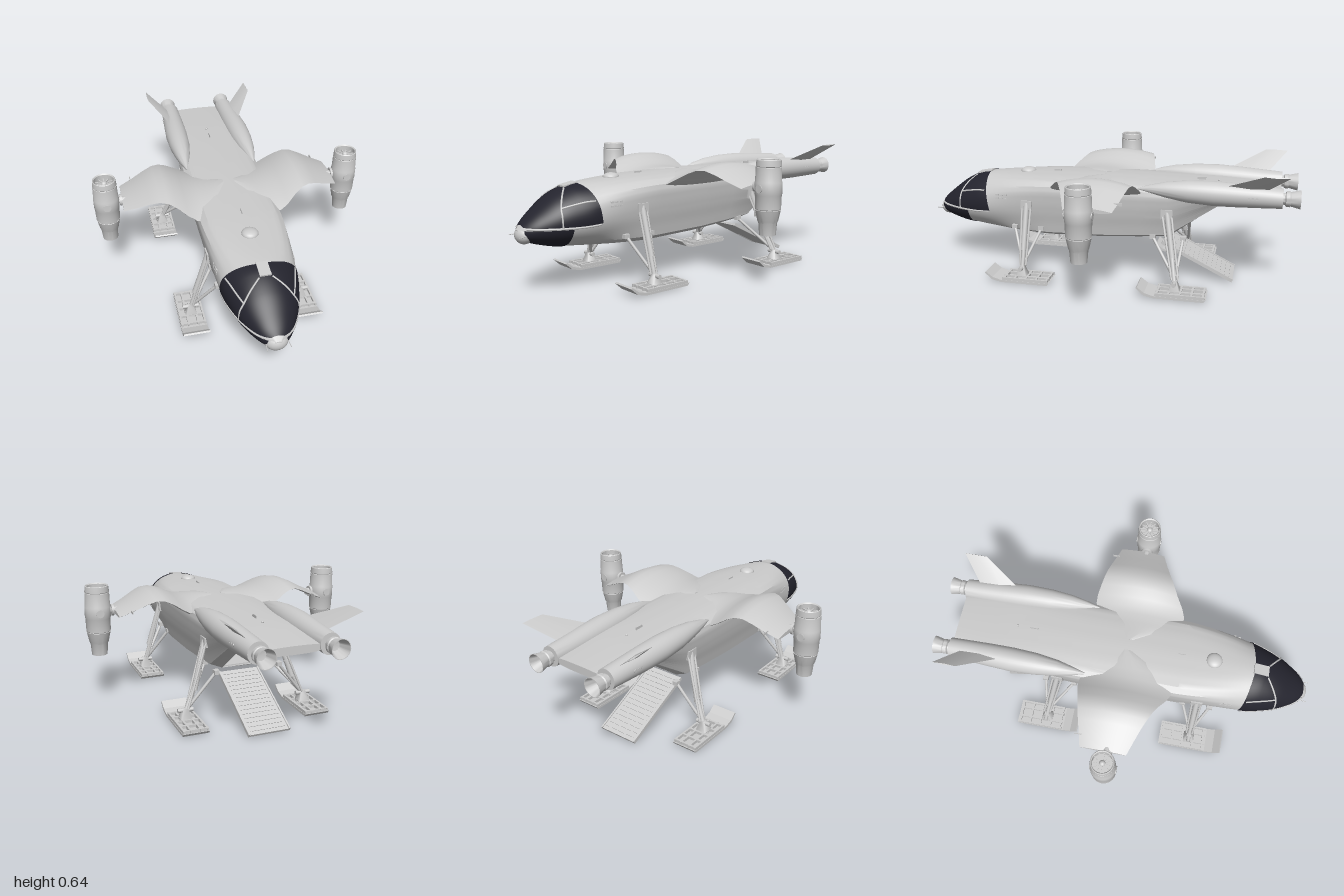
import * as THREE from 'three';
import { toCreasedNormals } from 'three/addons/utils/BufferGeometryUtils.js';
import { ParametricGeometry } from 'three/addons/geometries/ParametricGeometry.js';

const V = (x, y, z) => new THREE.Vector3(x, y, z);

// Hull stations, nose to tail: z, half width, top, bottom, blend from round (0) to faceted (1)
const stations = [
  [0.985, 0.02, 0.325, 0.285, 0], [0.95, 0.065, 0.362, 0.268, 0], [0.9, 0.1, 0.405, 0.25, 0],
  [0.82, 0.14, 0.465, 0.229, 0], [0.73, 0.169, 0.508, 0.217, 0], [0.66, 0.185, 0.52, 0.212, 0.15],
  [0.5, 0.201, 0.53, 0.207, 0.7], [0.3, 0.212, 0.538, 0.204, 1], [0, 0.215, 0.542, 0.213, 1],
  [-0.2, 0.215, 0.54, 0.228, 1], [-0.35, 0.212, 0.537, 0.242, 1], [-0.6, 0.2, 0.53, 0.43, 1],
  [-0.7, 0.18, 0.525, 0.455, 0.8], [-0.91, 0.16, 0.512, 0.472, 0.5]];
// Faceted half section: x / half width, height fraction
const half = [[0, 0], [0.5, 0], [0.81, 0.095], [0.86, 0.26], [0.92, 0.42], [0.965, 0.58],
  [1, 0.79], [0.97, 0.88], [0.83, 0.95], [0.5, 0.985], [0, 1]];
const STEPS = 30;

function stationAt(z) {
  let i = 0;
  while (i < stations.length - 2 && z < stations[i + 1][0]) i++;
  const a = stations[i], b = stations[i + 1], t = (z - a[0]) / (b[0] - a[0]);
  const p = stations[i - 1] || a, n = stations[i + 2] || b, h = b[0] - a[0];
  return a.map((v, k) => {
    if (a[0] <= 0.3 || k === 0) return v + (b[k] - v) * t;
    const m0 = (b[k] - p[k]) / (b[0] - p[0]) * h, m1 = (n[k] - v) / (n[0] - a[0]) * h;
    const t2 = t * t, t3 = t2 * t;
    return (2 * t3 - 3 * t2 + 1) * v + (t3 - 2 * t2 + t) * m0 + (3 * t2 - 2 * t3) * b[k] + (t3 - t2) * m1;
  });
}

// Point on the hull: u runs 0 (keel) to 1 (spine) on the +x side
function hullPoint(z, u, side = 1, lift = 0) {
  const [, w, top, bottom, k] = stationAt(z), f = Math.min(u * 10, 9.9999), i = Math.floor(f), t = f - i;
  const bx = half[i][0] + (half[i + 1][0] - half[i][0]) * t, by = half[i][1] + (half[i + 1][1] - half[i][1]) * t;
  const x = Math.sin(Math.PI * u) * (1 - k) + bx * k, y = (0.5 - 0.5 * Math.cos(Math.PI * u)) * (1 - k) + by * k;
  const hy = (top - bottom) / 2, mid = (top + bottom) / 2;
  return V(side * x * (w + lift), mid + (2 * y - 1) * (hy + lift), z);
}
// u of a given height on the rounded nose
function uAt(z, y) {
  const [, , top, bottom] = stationAt(z);
  return Math.acos(THREE.MathUtils.clamp(1 - 2 * (y - bottom) / (top - bottom), -1, 1)) / Math.PI;
}

// Skin between closed rings; rings turn anticlockwise seen from the first end
function loft(rings, crease = 0.6, skip = () => false) {
  const n = rings[0].length, pos = [], idx = [];
  rings.forEach(r => r.forEach(p => pos.push(p.x, p.y, p.z)));
  for (let i = 0; i < rings.length - 1; i++) for (let j = 0; j < n; j++) {
    if (skip(i, j)) continue;
    const a = i * n + j, b = i * n + (j + 1) % n;
    idx.push(a, a + n, b, b, a + n, b + n);
  }
  [0, rings.length - 1].forEach((r, e) => {
    const c = rings[r].reduce((s, p) => s.add(p), V(0, 0, 0)).divideScalar(n), ci = pos.length / 3;
    pos.push(c.x, c.y, c.z);
    for (let j = 0; j < n; j++) {
      const a = r * n + j, b = r * n + (j + 1) % n;
      e ? idx.push(ci, b, a) : idx.push(ci, a, b);
    }
  });
  const g = new THREE.BufferGeometry();
  g.setAttribute('position', new THREE.Float32BufferAttribute(pos, 3));
  g.setIndex(idx);
  return toCreasedNormals(g, crease);
}
const ringOf = (n, f) => Array.from({ length: n }, (_, i) => f(i / n * Math.PI * 2));

export function createModel() {
  const model = new THREE.Group();
  const hull = new THREE.MeshStandardMaterial({ color: 0xcccccc, side: THREE.DoubleSide }); hull.name = 'hullGrey';
  const glass = new THREE.MeshStandardMaterial({ color: 0x24242e, side: THREE.DoubleSide }); glass.name = 'darkGlass';
  const add = (parent, name, geo, mat = hull, x = 0, y = 0, z = 0) => {
    const m = new THREE.Mesh(geo, mat);
    m.name = name; m.position.set(x, y, z); parent.add(m);
    return m;
  };
  const box = (parent, name, w, h, d, x, y, z) => add(parent, name, new THREE.BoxGeometry(w, h, d), hull, x, y, z);
  const strut = (parent, name, a, b, r) => {
    const p = V(...a), q = V(...b), d = q.clone().sub(p);
    const m = add(parent, name, new THREE.CylinderGeometry(r, r, d.length(), 10));
    m.position.copy(p).add(q).multiplyScalar(0.5);
    m.quaternion.setFromUnitVectors(V(0, 1, 0), d.normalize());
  };
  const lathe = (pts, n = 28) => toCreasedNormals(new THREE.LatheGeometry(pts.map(p => new THREE.Vector2(...p)), n), 0.5);
  // Shape drawn in (z, y), extruded across x and centred
  const sideCut = (pts, width) => new THREE.ExtrudeGeometry(new THREE.Shape(pts.map(p => new THREE.Vector2(...p))),
    { depth: width, bevelEnabled: false }).rotateY(-Math.PI / 2).translate(width / 2, 0, 0);

  // Fuselage, open under the tail for the cargo bay
  const zs = Array.from({ length: 20 }, (_, i) => 0.985 - 0.685 * i / 20).concat(stations.slice(7).map(s => s[0]));
  const rings = zs.map(z => Array.from({ length: STEPS * 2 }, (_, j) =>
    j <= STEPS ? hullPoint(z, j / STEPS) : hullPoint(z, 2 - j / STEPS, -1)));
  add(model, 'fuselage', loft(rings, 0.5, (i, j) => zs[i] < -0.34 && zs[i] > -0.59 && (j < 3 || j >= STEPS * 2 - 3)));

  // Canopy glass and its frame
  for (const s of [1, -1]) {
    add(model, 'upperGlass', new ParametricGeometry((a, b, out) => {
      const z = THREE.MathUtils.lerp(0.63 + 0.05 * b, 0.968, a), u0 = uAt(z, 0.335);
      out.copy(hullPoint(z, u0 + (1 - u0) * b, s, 0.003));
    }, 24, 16), glass);
    add(model, 'lowerGlass', new ParametricGeometry((a, b, out) => {
      const z = THREE.MathUtils.lerp(0.77, 0.968, a);
      out.copy(hullPoint(z, uAt(z, 0.323) * b, s, 0.003));
    }, 16, 14), glass);
    const frame = pts => add(model, 'canopyFrame', new THREE.TubeGeometry(
      new THREE.CatmullRomCurve3(pts.map(([z, u]) => hullPoint(z, u, s, 0.003))), 24, 0.0048, 6));
    frame([0.64, 0.7, 0.76, 0.82, 0.88, 0.93, 0.96].map(z => [z, uAt(z, 0.329)]));
    frame([[0.82, uAt(0.82, 0.33)], [0.82, 0.6], [0.815, 0.7], [0.79, 0.82], [0.75, 0.94]]);
    frame([[0.815, 0.7], [0.76, 0.68], [0.7, 0.67], [0.66, 0.66]]);
  }
  box(model, 'canopyTopPlate', 0.055, 0.008, 0.08, 0, 0.515, 0.71).rotation.x = 0.18;
  add(model, 'noseCap', new THREE.SphereGeometry(1, 24, 16).scale(0.054, 0.044, 0.042), hull, 0, 0.297, 0.95);

  // Dorsal dome, aerials and belly fins
  add(model, 'dorsalDome', new THREE.SphereGeometry(1, 24, 12).scale(0.042, 0.022, 0.042), hull, 0, 0.53, 0.46);
  for (const [z, l] of [[0.29, 0.04], [-0.5, 0.045]]) box(model, 'dorsalAerial', 0.004, 0.02, l, 0, 0.536, z);
  add(model, 'dorsalLamp', new THREE.SphereGeometry(0.006, 10, 8), hull, 0, 0.533, -0.59);
  for (const z of [0.16, -0.14]) add(model, 'bellyFin',
    sideCut([[0.02, 0.04], [-0.02, 0.04], [-0.018, 0], [-0.006, 0]], 0.008), hull, 0, 0.186, z);
  add(model, 'bellyLamp', new THREE.SphereGeometry(0.01, 10, 8), hull, 0, 0.205, 0.3);

  // Cargo bay and ramp
  const bay = new THREE.Group(); bay.name = 'cargoBay'; model.add(bay);
  for (const s of [1, -1]) {
    add(bay, 'bayWall', sideCut([[-0.06, 0.25], [-0.36, 0.252], [-0.59, 0.43], [-0.59, 0.48], [-0.06, 0.48]], 0.006), hull, s * 0.106);
    for (const z of [-0.15, -0.24, -0.33, -0.42]) box(bay, 'bayRib', 0.008, 0.14, 0.012, s * 0.1, 0.41, z);
  }
  box(bay, 'bayCeiling', 0.21, 0.006, 0.53, 0, 0.48, -0.325);
  box(bay, 'bayFloor', 0.21, 0.006, 0.29, 0, 0.25, -0.205);
  box(bay, 'bayBulkhead', 0.21, 0.23, 0.006, 0, 0.365, -0.06);
  box(bay, 'bayDoor', 0.09, 0.17, 0.008, 0, 0.34, -0.066);
  const ramp = new THREE.Group(); ramp.name = 'ramp'; model.add(ramp);
  ramp.position.set(0, 0.107, -0.5); ramp.rotation.x = -Math.atan2(0.188, 0.38);
  box(ramp, 'rampPlate', 0.22, 0.012, 0.424, 0, 0, 0);
  for (const s of [1, -1]) box(ramp, 'rampEdge', 0.008, 0.018, 0.424, s * 0.106, 0.002, 0);
  for (let i = 0; i < 15; i++) box(ramp, 'rampTread', 0.18, 0.003, 0.004, 0, 0.007, -0.19 + i * 0.027);

  // Everything that is mirrored is built on +x
  for (const s of [1, -1]) {
    const g = new THREE.Group();
    g.name = s > 0 ? 'leftSide' : 'rightSide'; g.scale.x = s; model.add(g);

    // Gull wing: x, front z, rear z, edge height, crown, half thickness below
    const wing = [[0.03, 0.04, -0.03, 0.532, 0.011, 0.02], [0.08, 0.17, -0.1, 0.522, 0.022, 0.02], [0.13, 0.245, -0.15, 0.504, 0.038, 0.02],
      [0.18, 0.272, -0.19, 0.493, 0.05, 0.02], [0.22, 0.268, -0.212, 0.5, 0.05, 0.018], [0.26, 0.25, -0.212, 0.522, 0.044, 0.014],
      [0.31, 0.215, -0.2, 0.554, 0.036, 0.01], [0.35, 0.192, -0.191, 0.571, 0.029, 0.008], [0.39, 0.173, -0.182, 0.572, 0.024, 0.008],
      [0.44, 0.15, -0.17, 0.553, 0.022, 0.008], [0.5, 0.126, -0.155, 0.525, 0.018, 0.008], [0.57, 0.1, -0.138, 0.497, 0.014, 0.008]];
    add(g, 'wing', loft(wing.map(([x, zf, zr, y, up, down]) => ringOf(36, a => {
      const c = Math.cos(a), q = Math.sin(a);
      return V(x, y + (q > 0 ? up * (1 - c * c) : down * q), (zf + zr) / 2 + c * (zf - zr) / 2);
    })), 0.9));
    add(g, 'wingHatch', new THREE.CylinderGeometry(0.025, 0.025, 0.006, 20).scale(0.7, 1, 1.6), hull, 0.38, 0.565, 0);
    box(g, 'wingFence', 0.004, 0.012, 0.04, 0.51, 0.521, -0.155);

    // Tilting lift pod at the wing tip
    strut(g, 'podShaft', [0.55, 0.503, 0], [0.61, 0.503, 0], 0.018);
    add(g, 'shaftCollar', new THREE.CylinderGeometry(0.03, 0.03, 0.012, 20).rotateZ(Math.PI / 2), hull, 0.576, 0.503, 0);
    const pod = new THREE.Group(); pod.name = 'liftPod'; pod.position.set(0.651, 0, 0); g.add(pod);
    add(pod, 'podShell', lathe([[0, 0.31], [0.033, 0.31], [0.036, 0.275], [0.04, 0.275], [0.045, 0.335], [0.05, 0.345], [0.06, 0.392],
      [0.062, 0.398], [0.06, 0.4], [0.062, 0.403], [0.064, 0.47], [0.066, 0.475], [0.066, 0.53], [0.064, 0.535],
      [0.062, 0.603], [0.06, 0.605], [0.062, 0.608], [0.059, 0.637], [0.056, 0.64], [0.051, 0.635], [0.051, 0.585], [0, 0.585]], 32));
    add(pod, 'fanHub', new THREE.SphereGeometry(0.016, 16, 10), hull, 0, 0.612, 0);
    for (let i = 0; i < 12; i++) {
      const a = i * Math.PI / 6;
      box(pod, 'fanBlade', 0.05, 0.005, 0.006, Math.cos(a) * 0.027, 0.612, -Math.sin(a) * 0.027).rotation.y = a;
    }
    add(pod, 'podCap', new THREE.CylinderGeometry(0.02, 0.02, 0.136, 18).rotateX(Math.PI / 2), hull, 0, 0.503, 0);

    // Engine nacelle and nozzle
    const nac = [[-0.19, 0.19, 0.515, 0.004], [-0.26, 0.19, 0.517, 0.024], [-0.34, 0.188, 0.517, 0.042], [-0.45, 0.186, 0.514, 0.057],
      [-0.58, 0.184, 0.511, 0.063], [-0.7, 0.18, 0.508, 0.06], [-0.82, 0.176, 0.505, 0.055], [-0.915, 0.173, 0.503, 0.051]];
    add(g, 'nacelle', loft(nac.map(([z, x, y, r]) => ringOf(32, a => V(x + r * Math.cos(a), y + r * Math.sin(a), z)))));
    add(g, 'nozzle', lathe([[0.028, 0], [0.03, 0.018], [0.038, 0.022], [0.04, 0.04], [0.036, 0.045], [0.047, 0.092], [0.044, 0.092],
      [0.025, 0.035], [0, 0.03]]).rotateX(-Math.PI / 2), hull, 0.175, 0.503, -0.908);
    for (const z of [-0.75, -0.77, -0.79])
      add(g, 'nacellePort', new THREE.CylinderGeometry(0.007, 0.007, 0.006, 10).rotateZ(Math.PI / 2), hull, 0.233, 0.508, z);
    // Canted tail fin
    const finRing = (x, y, zf, zr, t) => [V(x, y, zf), V(x - t * 0.6, y + t * 0.8, (zf + zr) / 2), V(x, y, zr), V(x + t * 0.6, y - t * 0.8, (zf + zr) / 2)];
    add(g, 'tailFin', loft([finRing(0.19, 0.543, -0.61, -0.84, 0.008), finRing(0.314, 0.641, -0.82, -0.94, 0.004)], 0.2));

    // Hull side vents and nose probe
    for (let i = 0; i < 3; i++) for (const y of [0.415, 0.435])
      box(g, 'sideVent', 0.006, 0.008, 0.016, hullPoint(0.58 - i * 0.024, 0.56).x - 0.001, y, 0.58 - i * 0.024);
    strut(g, 'noseProbe', [0.05, 0.3, 0.94], [0.055, 0.295, 1], 0.002);

    // Ski landing gear, front and rear: foot x, foot z, top z, brace z
    for (const [name, fx, fz, tz, braces] of [['frontGear', 0.297, 0.412, 0.41, [0.49, 0.34]], ['rearGear', 0.325, -0.41, -0.345, [-0.27, -0.43]]]) {
      const gear = new THREE.Group(); gear.name = name; g.add(gear);
      const ski = new THREE.Group(); ski.name = 'ski'; ski.position.set(fx, 0, fz); gear.add(ski);
      add(ski, 'skiPlate', sideCut([[-0.165, 0.018], [-0.155, 0.004], [0.1, 0.004], [0.15, 0.016], [0.188, 0.05], [0.182, 0.057],
        [0.145, 0.029], [0.1, 0.016], [-0.15, 0.016]], 0.134));
      box(ski, 'skiKeel', 0.1, 0.006, 0.22, 0, 0.003, -0.03);
      for (const x of [-0.06, -0.025, 0.025, 0.06]) box(ski, 'skiRail', 0.01, 0.018, 0.25, x, 0.022, -0.033);
      for (let i = 0; i < 5; i++) box(ski, 'skiCrossbar', 0.13, 0.014, 0.01, 0, 0.024, -0.15 + i * 0.058);
      add(ski, 'skiPivot', new THREE.CylinderGeometry(0.016, 0.045, 0.06, 4).rotateY(Math.PI / 4), hull, 0, 0.05, 0);
      strut(ski, 'pivotPin', [-0.04, 0.07, 0], [0.04, 0.07, 0], 0.011);
      strut(gear, 'mainStrut', [fx, 0.06, fz], [0.235, 0.25, fz + (tz - fz) * 0.55], 0.011);
      strut(gear, 'strutSleeve', [0.27, 0.16, fz + (tz - fz) * 0.3], [0.197, 0.4, tz], 0.015);
      for (const d of [-0.024, 0.024])
        strut(gear, 'sideRod', [fx - 0.01, 0.08, fz + d * 0.7], [0.2, 0.39, tz + d], 0.006);
      for (const z of braces) {
        strut(gear, 'brace', [fx - 0.015, 0.08, fz], [0.17, 0.255, z], 0.008);
        box(gear, 'braceMount', 0.026, 0.022, 0.03, 0.17, 0.255, z);
      }
      box(gear, 'strutMount', 0.024, 0.05, 0.06, 0.198, 0.39, tz);
    }
  }
  return model;
}
